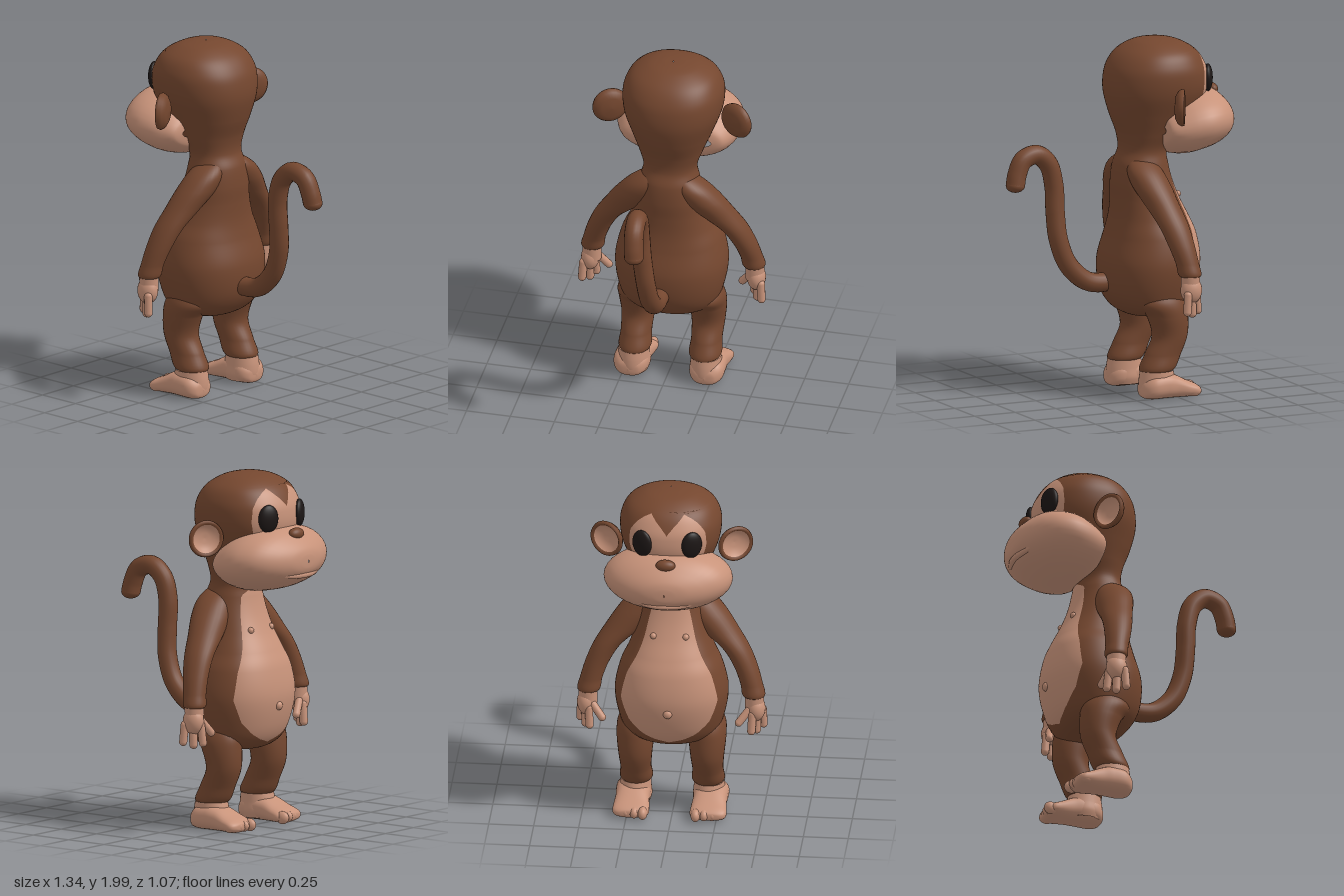
import * as THREE from 'three';

const fur = new THREE.MeshStandardMaterial({ color: 0x75472f });
const skin = new THREE.MeshStandardMaterial({ color: 0xc8937a });
const eyeBlack = new THREE.MeshStandardMaterial({ color: 0x1c1615 });
fur.name = 'fur';
skin.name = 'skin';
eyeBlack.name = 'eyeBlack';

const V = (x, y, z) => new THREE.Vector3(x, y, z);
const TAU = Math.PI * 2;

function add(parent, name, geometry, material) {
  const mesh = new THREE.Mesh(geometry, material);
  mesh.name = name;
  parent.add(mesh);
  return mesh;
}

// Smooth interpolation through rows of numbers, u in 0..1
function sampleRows(rows, u) {
  const f = THREE.MathUtils.clamp(u, 0, 1) * (rows.length - 1);
  const i = Math.min(Math.floor(f), rows.length - 2), t = f - i;
  const at = k => rows[THREE.MathUtils.clamp(k, 0, rows.length - 1)];
  return rows[0].map((_, c) => {
    const a = at(i - 1)[c], b = at(i)[c], d = at(i + 1)[c], e = at(i + 2)[c];
    return b + 0.5 * t * (d - a + t * (2 * a - 5 * b + 4 * d - e + t * (3 * (b - d) + e - a)));
  });
}

// Surface from cross-sections [position, low edge, high edge, half width, z centre]
// upright: position is y and edges are x; otherwise position is x and edges are y
function surface(rows, upright, n = 2) {
  const surf = (theta, u) => {
    const [s, lo, hi, hz, zc = 0] = sampleRows(rows, u);
    const c = Math.cos(theta), w = Math.sin(theta);
    const r = (Math.abs(c) ** n + Math.abs(w) ** n) ** (-1 / n);
    const a = (lo + hi) / 2 - Math.max((hi - lo) / 2, 0.001) * c * r;
    const z = zc + Math.max(hz, 0.001) * w * r;
    return upright ? V(s, a, z).set(a, s, z) : V(s, a, z);
  };
  surf.steps = (rows.length - 1) * 6;
  return surf;
}

// Mesh of the surface between two angles that may vary with height
function patch(surf, from = () => 0, to = () => TAU, cols = 40) {
  const pos = [], nor = [], idx = [], width = [];
  for (let j = 0; j <= surf.steps; j++) {
    const u = j / surf.steps, y = surf(0, u).y, lo = from(y), hi = to(y);
    width.push(hi - lo);
    for (let i = 0; i <= cols; i++) {
      const th = lo + (hi - lo) * i / cols, p = surf(th, u);
      const dt = surf(th + 0.01, u).sub(surf(th - 0.01, u));
      const du = surf(th, Math.min(u + 0.002, 1)).sub(surf(th, Math.max(u - 0.002, 0)));
      pos.push(p.x, p.y, p.z);
      nor.push(...dt.cross(du).normalize().toArray());
    }
    if (j === 0 || width[j] + width[j - 1] < 1e-6) continue;
    for (let i = 0; i < cols; i++) {
      const b = j * (cols + 1) + i, a = b - cols - 1;
      idx.push(a, a + 1, b, a + 1, b + 1, b);
    }
  }
  const g = new THREE.BufferGeometry();
  g.setAttribute('position', new THREE.Float32BufferAttribute(pos, 3));
  g.setAttribute('normal', new THREE.Float32BufferAttribute(nor, 3));
  g.setIndex(idx);
  return g;
}

// Piecewise linear lookup of [y, value] pairs
const table = pts => y => {
  if (y <= pts[0][0]) return pts[0][1];
  for (let i = 1; i < pts.length; i++) {
    const [y0, v0] = pts[i - 1], [y1, v1] = pts[i];
    if (y <= y1) return v0 + (v1 - v0) * (y - y0) / (y1 - y0);
  }
  return pts[pts.length - 1][1];
};

function ball(parent, name, material, p, rx, ry, rz) {
  const m = add(parent, name, new THREE.SphereGeometry(1, 24, 16), material);
  m.position.copy(p);
  m.scale.set(rx, ry, rz);
  return m;
}

function digit(parent, name, a, b, r) {
  const d = b.clone().sub(a);
  const m = add(parent, name, new THREE.CapsuleGeometry(r, d.length(), 6, 12), skin);
  m.position.copy(a).add(b).multiplyScalar(0.5);
  m.quaternion.setFromUnitVectors(V(0, 1, 0), d.normalize());
}

export function createModel() {
  const model = new THREE.Group();
  model.name = 'monkey';
  model.position.z = -0.01;

  // Torso, neck and head as one continuous skin
  const trunk = surface([
    [0.44, -0.2, -0.16, 0.01], [0.45, -0.31, -0.06, 0.14], [0.5, -0.38, 0.02, 0.25],
    [0.6, -0.43, 0.075, 0.295], [0.75, -0.46, 0.085, 0.315], [0.9, -0.44, 0.045, 0.285],
    [1.0, -0.4, 0.025, 0.24], [1.1, -0.35, 0.02, 0.205], [1.2, -0.31, 0.022, 0.185],
    [1.3, -0.285, 0.01, 0.165], [1.38, -0.28, -0.02, 0.15], [1.47, -0.34, -0.01, 0.18],
    [1.58, -0.45, 0.03, 0.225], [1.7, -0.51, 0.058, 0.27], [1.8, -0.515, 0.052, 0.282],
    [1.87, -0.49, 0.025, 0.268], [1.93, -0.445, -0.025, 0.228], [1.975, -0.37, -0.1, 0.15],
    [1.993, -0.29, -0.17, 0.07], [1.996, -0.225, -0.215, 0.002],
  ], true, 2.2);
  const inner = table([[1.83, 0], [1.87, 0.13], [1.91, 0.3], [1.93, 0.4], [1.931, 0]]);
  const outer = table([[0.49, 0], [0.51, 0.28], [0.55, 0.55], [0.62, 0.8], [0.75, 0.98], [0.9, 0.93],
    [1.05, 0.78], [1.2, 0.68], [1.31, 0.6], [1.36, 0], [1.45, 0], [1.6, 0.75], [1.75, 0.84],
    [1.83, 0.8], [1.88, 0.68], [1.91, 0.55], [1.93, 0.4], [1.931, 0]]);
  add(model, 'bodyFur', patch(trunk, outer, y => TAU - outer(y), 56), fur);
  add(model, 'browFur', patch(trunk, y => -inner(y), inner, 16), fur);
  add(model, 'faceAndBellyLeft', patch(trunk, inner, outer, 16), skin);
  add(model, 'faceAndBellyRight', patch(trunk, y => -outer(y), y => -inner(y), 16), skin);
  ball(model, 'navel', skin, V(-0.452, 0.7, 0), 0.02, 0.025, 0.025);

  // Broad cheeks and muzzle
  add(model, 'muzzle', patch(surface([
    [-0.19, 1.46, 1.55, 0.22], [-0.205, 1.4, 1.61, 0.28], [-0.26, 1.355, 1.66, 0.32],
    [-0.34, 1.34, 1.705, 0.35], [-0.42, 1.35, 1.72, 0.358], [-0.5, 1.37, 1.715, 0.335],
    [-0.56, 1.395, 1.69, 0.29], [-0.61, 1.425, 1.65, 0.22], [-0.645, 1.46, 1.61, 0.14],
    [-0.66, 1.49, 1.575, 0.07], [-0.664, 1.525, 1.54, 0.002],
  ], false)), skin);
  const lip = new THREE.CatmullRomCurve3([V(-0.56, 1.485, -0.2), V(-0.61, 1.46, -0.12),
    V(-0.638, 1.455, 0), V(-0.61, 1.46, 0.12), V(-0.56, 1.485, 0.2)]);
  add(model, 'lowerLip', new THREE.TubeGeometry(lip, 30, 0.017, 10), skin);

  // Triangular nose
  const nose = ball(model, 'nose', fur, V(-0.575, 1.68, 0), 0.034, 0.032, 0.055);
  nose.rotation.z = 0.5;

  // Tail with hooked tip
  const tail = new THREE.CatmullRomCurve3([V(0.0, 0.65, 0.01), V(0.11, 0.637, 0.01), V(0.2, 0.66, 0.01),
    V(0.3, 0.755, 0.015), V(0.355, 0.9, 0.025), V(0.367, 1.05, 0.04), V(0.37, 1.2, 0.05),
    V(0.405, 1.325, 0.05), V(0.48, 1.385, 0.045), V(0.565, 1.36, 0.04), V(0.605, 1.28, 0.035), V(0.617, 1.225, 0.03)]);
  add(model, 'tail', new THREE.TubeGeometry(tail, 80, 0.054, 18), fur);
  ball(model, 'tailTip', fur, V(0.617, 1.225, 0.03), 0.054, 0.04, 0.054);

  for (const s of [1, -1]) {
    const side = new THREE.Group();
    side.name = s > 0 ? 'partsPlusZ' : 'partsMinusZ';
    model.add(side);

    // Eye and chest detail
    const eye = ball(side, 'eye', eyeBlack, V(-0.487, 1.77, s * 0.138), 0.028, 0.078, 0.06);
    eye.rotation.y = s * 0.45;
    ball(side, 'nipple', skin, V(-0.325, 1.12, s * 0.09), 0.018, 0.018, 0.018);

    // Ear: furry back and rim, pale bowl
    const ear = new THREE.Group();
    ear.name = 'ear';
    ear.position.set(-0.215, 1.66, s * 0.355);
    ear.quaternion.setFromUnitVectors(V(0, 1, 0), V(-0.88, 0, s * 0.47).normalize());
    side.add(ear);
    const ring = pts => new THREE.LatheGeometry(pts.map(p => new THREE.Vector2(...p)), 32);
    add(ear, 'earBack', ring([[0, -0.035], [0.06, -0.032], [0.092, -0.015], [0.104, 0.005],
      [0.1, 0.02], [0.088, 0.022], [0.078, 0.012]]), fur);
    add(ear, 'earInside', ring([[0.08, 0.014], [0.06, -0.004], [0.03, -0.012], [0, -0.014]]), skin);

    // Arm
    add(side, 'arm', patch(surface([
      [0.725, -0.225, -0.215, 0.002, 0.46], [0.73, -0.282, -0.16, 0.061, 0.46], [0.8, -0.275, -0.145, 0.062, 0.445],
      [0.9, -0.265, -0.115, 0.067, 0.41], [1.0, -0.255, -0.085, 0.078, 0.355], [1.1, -0.24, -0.05, 0.105, 0.265],
      [1.2, -0.225, -0.012, 0.12, 0.18], [1.28, -0.2, -0.005, 0.1, 0.125], [1.335, -0.16, -0.04, 0.05, 0.09],
      [1.345, -0.105, -0.1, 0.002, 0.08],
    ].map(r => [...r.slice(0, 4), s * r[4]]), true), undefined, undefined, 28), fur);

    // Hand with three fingers and a thumb
    const P = (x, y, z) => V(x, y, s * z);
    const wrist = add(side, 'wrist', new THREE.CylinderGeometry(0.054, 0.052, 0.09, 24), skin);
    wrist.position.copy(P(-0.221, 0.69, 0.463));
    ball(side, 'palm', skin, P(-0.222, 0.65, 0.472), 0.062, 0.075, 0.052);
    digit(side, 'finger', P(-0.262, 0.63, 0.455), P(-0.272, 0.53, 0.45), 0.023);
    digit(side, 'finger', P(-0.222, 0.62, 0.478), P(-0.226, 0.52, 0.476), 0.024);
    digit(side, 'finger', P(-0.186, 0.63, 0.505), P(-0.18, 0.535, 0.51), 0.023);
    digit(side, 'thumb', P(-0.25, 0.65, 0.435), P(-0.275, 0.58, 0.38), 0.022);

    // Leg
    add(side, 'leg', patch(surface([
      [0.155, -0.14, -0.13, 0.002], [0.16, -0.235, -0.042, 0.086], [0.25, -0.285, -0.075, 0.086],
      [0.35, -0.322, -0.12, 0.094], [0.46, -0.325, -0.09, 0.105], [0.54, -0.31, -0.04, 0.1], [0.62, -0.25, -0.1, 0.06],
    ].map(r => [...r, s * 0.2]), true), undefined, undefined, 32), fur);

    // Foot with ankle and toes
    add(side, 'ankle', patch(surface([
      [0.02, -0.24, -0.045, 0.08], [0.06, -0.25, -0.035, 0.092], [0.11, -0.245, -0.036, 0.088], [0.16, -0.233, -0.044, 0.085],
    ].map(r => [...r, s * 0.205]), true), undefined, undefined, 32), skin);
    add(side, 'foot', patch(surface([
      [-0.035, 0.05, 0.06, 0.002], [-0.045, 0.015, 0.1, 0.06], [-0.09, 0.004, 0.14, 0.095], [-0.17, 0.004, 0.15, 0.097],
      [-0.23, 0.004, 0.135, 0.094], [-0.3, 0.004, 0.1, 0.1], [-0.35, 0.006, 0.078, 0.1],
      [-0.375, 0.02, 0.06, 0.07], [-0.38, 0.038, 0.042, 0.002],
    ].map(r => [...r, s * 0.215]), false, 2.5), undefined, undefined, 32), skin);
    for (let i = 0; i < 4; i++) {
      ball(side, 'toe', skin, P(-0.362 + 0.01 * i, 0.04, 0.147 + 0.047 * i), 0.04, 0.036 - 0.002 * i, 0.027);
    }
  }
  return model;
}
